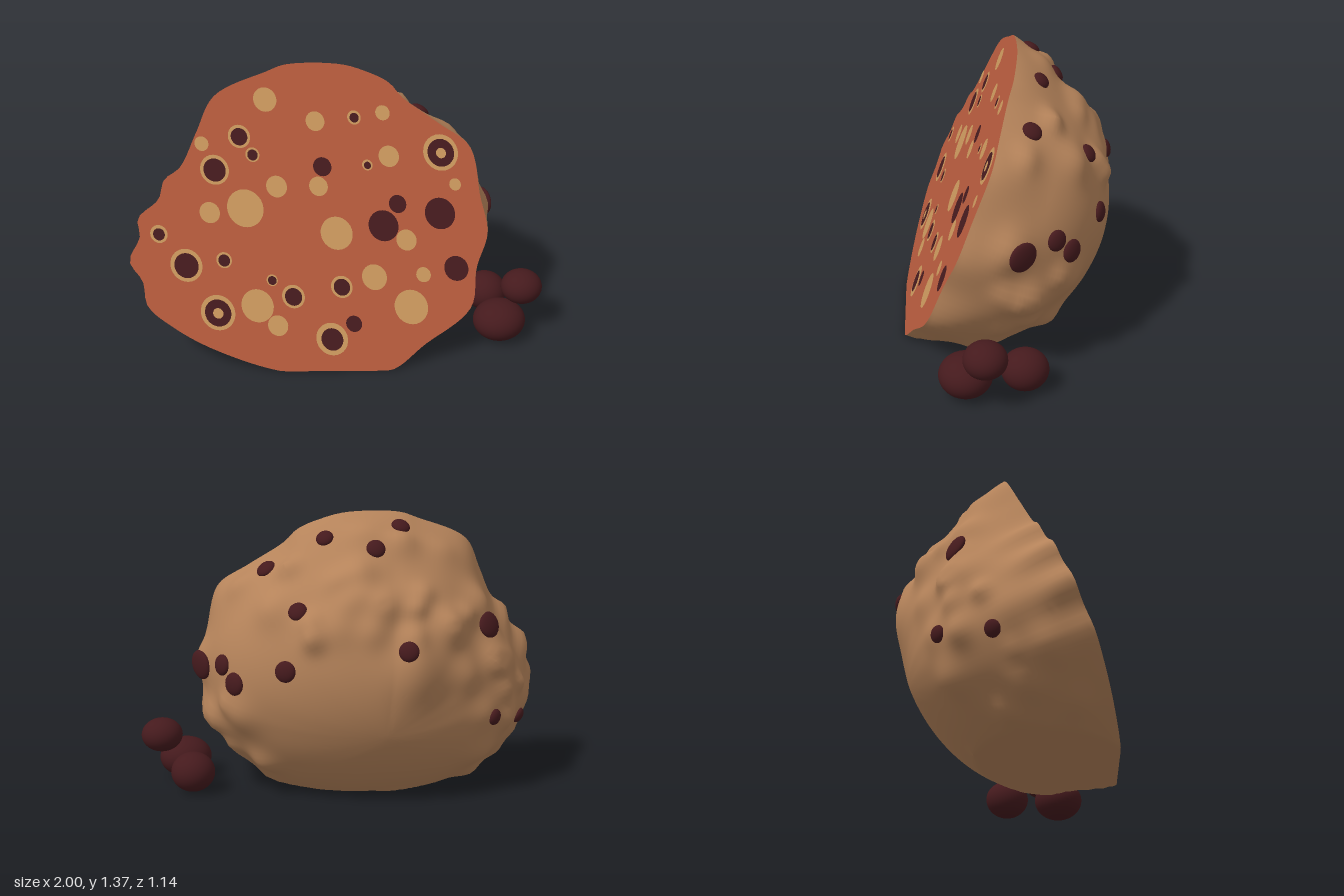
import * as THREE from 'three';
import { toCreasedNormals } from 'three/addons/utils/BufferGeometryUtils.js';

const paint = (name, color) => Object.assign(new THREE.MeshStandardMaterial({ color }), { name });

// Outline of the cut face, counter-clockwise from the top
const OUTLINE = [
  [-.19, 1.36], [-.28, 1.33], [-.53, 1.225], [-.63, 1.065], [-.72, .915], [-.8, .86], [-.835, .775],
  [-.94, .69], [-.94, .61], [-1, .5], [-.95, .41], [-.94, .3], [-.835, .205], [-.66, .105], [-.34, 0],
  [-.1, 0], [.16, 0], [.33, .115], [.565, .285], [.605, .46], [.67, .62], [.65, .78], [.62, 1],
  [.49, 1.1], [.33, 1.215], [.275, 1.28], [.17, 1.33], [.06, 1.36],
];
// The cut is a sloping plane
const planeZ = (x, y) => .528 + .238 * x - .425 * y;
const CENTRE = new THREE.Vector3(-.15, .65, planeZ(-.15, .65));
const DEPTH = new THREE.Vector3(.165, -.293, -.69);
const AROUND = 144, RINGS = 60;
const { smoothstep } = THREE.MathUtils;

function seeded(seed) {
  return () => (seed = (seed * 16807) % 2147483647) / 2147483647;
}

// Lay a flat geometry onto the cut plane
function ontoCut(geometry, lift = 0) {
  const p = geometry.attributes.position;
  for (let i = 0; i < p.count; i++) p.setZ(i, planeZ(p.getX(i), p.getY(i)) + lift);
  geometry.computeVertexNormals();
  return geometry;
}

// Rim averaged with its neighbours, so that its notches fade out behind the cut
function softened(rim, reach) {
  return rim.map((_, i) => {
    const sum = new THREE.Vector3();
    for (let k = -reach; k <= reach; k++) sum.add(rim[(i + k + AROUND) % AROUND]);
    return sum.divideScalar(2 * reach + 1);
  });
}

// Smooth dome point behind the rim point, phi = 0 at the rim and PI/2 at the back
function domePoint(rimPoint, softPoint, phi) {
  const d = rimPoint.clone().lerp(softPoint, smoothstep(phi, 0, .4)).sub(CENTRE);
  const r = Math.hypot(d.x, d.y);
  const right = Math.max(0, d.x / r), left = Math.max(0, -d.x / r);
  const up = Math.max(0, d.y / r), down = Math.max(0, -d.y / r);
  const bulge = -.025 - .055 * up + .05 * left + .15 * right * (1 - .8 * down) + .085 * down * (1 - .4 * right);
  return d.multiplyScalar(Math.cos(phi) + bulge * Math.sin(2 * phi))
    .add(CENTRE).addScaledVector(DEPTH, Math.sin(phi));
}

function rindGeometry(rim) {
  const soft = softened(rim, 8);
  const random = seeded(77);
  const bumps = Array.from({ length: 65 }, () => {
    const i = Math.floor(random() * AROUND);
    return {
      at: domePoint(rim[i], soft[i], .15 + random() * .8),
      height: .015 + random() * .03,
      width: .05 + random() * .05,
    };
  });
  // Broad swelling at the back
  bumps.push({ at: new THREE.Vector3(-.12, .67, -.52), height: .045, width: .14 });
  const positions = [], index = [];
  for (let j = 0; j <= RINGS; j++) {
    const phi = (j / RINGS) * Math.PI / 2;
    for (let i = 0; i < AROUND; i++) {
      const p = domePoint(rim[i], soft[i], phi);
      let push = 0;
      for (const b of bumps) push += b.height * Math.exp(-p.distanceToSquared(b.at) / (b.width * b.width));
      push = Math.min(push, .055) * smoothstep(phi, 0, .25) - .01 * Math.sin(2 * phi);
      p.addScaledVector(p.clone().sub(CENTRE).normalize(), push);
      positions.push(p.x, Math.max(0, p.y), p.z);
      if (j === RINGS) continue;
      const a = j * AROUND + i, b = j * AROUND + (i + 1) % AROUND;
      index.push(a, a + AROUND, b);
      if (j < RINGS - 1) index.push(b, a + AROUND, b + AROUND);
    }
  }
  const g = new THREE.BufferGeometry();
  g.setAttribute('position', new THREE.Float32BufferAttribute(positions, 3));
  g.setIndex(index);
  g.computeVertexNormals();
  return g;
}

export function createModel() {
  const rindTan = paint('rind tan', 0xb5835a);
  const fleshOrange = paint('flesh orange', 0xb45a3c);
  const spotTan = paint('spot tan', 0xc8965c);
  const darkMaroon = paint('dark maroon', 0x451a1d);

  const model = new THREE.Group();
  model.name = 'cutLump';
  const add = (name, geometry, material) => {
    const mesh = new THREE.Mesh(geometry, material);
    mesh.name = name;
    model.add(mesh);
    return mesh;
  };

  const curve = new THREE.CatmullRomCurve3(OUTLINE.map(([x, y]) => new THREE.Vector3(x, y, 0)), true);
  const rim = curve.getSpacedPoints(AROUND).slice(0, AROUND);
  rim.forEach((p) => { p.y = Math.max(0, p.y); p.z = planeZ(p.x, p.y); });

  // Bumpy rind and the flat cut
  const rind = rindGeometry(rim);
  add('rind', toCreasedNormals(rind, .7), rindTan);
  const flat = new THREE.Shape(rim.map((p) => new THREE.Vector2(p.x, p.y)));
  add('cutFace', ontoCut(new THREE.ShapeGeometry(flat)), fleshOrange);

  // Round spots on the cut: stacked thin discs of decreasing radius
  const disc = (name, x, y, r, lift, material) =>
    add(name, ontoCut(new THREE.CircleGeometry(r, 28).translate(x, y, 0), lift), material);
  const tanSpots = [
    [-.3, 1.21, .053], [-.08, 1.115, .043], [.232, 1.15, .033], [.243, .96, .047], [-.61, 1.02, .032],
    [-.286, .83, .048], [-.093, .83, .043], [-.44, .735, .084], [-.606, .717, .047], [-.03, .622, .074],
    [.29, .59, .047], [.126, .425, .058], [.355, .435, .034], [-.43, .3, .075], [-.344, .21, .047],
    [.285, .29, .078], [.537, .835, .027],
  ];
  const ringedSpots = [
    [-.435, 1.05, .051, .038], [-.382, .97, .032, .024], [-.563, .905, .066, .051], [.1, 1.13, .031, .021],
    [.141, .922, .024, .016], [-.851, .623, .04, .027], [-.74, .483, .074, .056], [-.563, .505, .036, .027],
    [-.35, .414, .026, .02], [-.259, .34, .053, .04], [-.03, .382, .05, .038], [-.098, .147, .074, .051],
    [.483, .975, .08, .061, .023], [-.617, .27, .08, .061, .024],
  ];
  const darkSpots = [
    [-.067, .916, .042], [.19, .654, .069], [.264, .75, .04], [.456, .707, .07], [.51, .462, .056], [.011, .216, .037],
  ];
  tanSpots.forEach(([x, y, r]) => disc('tanSpot', x, y, r, .004, spotTan));
  darkSpots.forEach(([x, y, r]) => disc('darkSpot', x, y, r, .004, darkMaroon));
  ringedSpots.forEach(([x, y, ...radii]) => radii.forEach((r, k) =>
    disc('ringedSpot', x, y, r, .003 * (k + 1), k % 2 ? darkMaroon : spotTan)));

  // Dark lumps half buried in the rind, snapped to its surface
  const lumps = [
    [.445, 1.1, .015, .048], [.195, 1.265, -.115, .042], [-.165, 1.31, -.19, .045], [-.01, 1.225, -.285, .045],
    [.38, .955, -.295, .045], [-.07, .775, -.54, .047], [.74, .61, .143, .072], [.74, .67, -.05, .05],
    [.71, .58, -.14, .055], [.5, .665, -.375, .05], [-.59, .85, -.42, .065], [-.52, .4, -.37, .04], [-.72, .37, -.17, .04],
  ];
  const pos = rind.attributes.position, nor = rind.attributes.normal;
  const vertex = new THREE.Vector3(), normal = new THREE.Vector3();
  for (const [x, y, z, r] of lumps) {
    const target = new THREE.Vector3(x, y, z);
    let best = 0, bestDistance = Infinity;
    for (let i = 0; i < pos.count; i++) {
      const d = vertex.fromBufferAttribute(pos, i).distanceToSquared(target);
      if (d < bestDistance) { bestDistance = d; best = i; }
    }
    const lump = add('rindLump', new THREE.SphereGeometry(1, 24, 14), darkMaroon);
    lump.position.fromBufferAttribute(pos, best);
    lump.quaternion.setFromUnitVectors(new THREE.Vector3(0, 0, 1), normal.fromBufferAttribute(nor, best));
    lump.scale.set(r, r, .024);
  }

  // Loose berries beside the lump
  const berries = [
    [.765, .1, .418, .13, .1, .123], [.895, .24, .362, .102, .084, .1], [.79, .097, .147, .107, .097, .11],
  ];
  for (const [x, y, z, rx, ry, rz] of berries) {
    const berry = add('berry', new THREE.SphereGeometry(1, 36, 24), darkMaroon);
    berry.position.set(x, y, z);
    berry.scale.set(rx, ry, rz);
  }
  return model;
}
